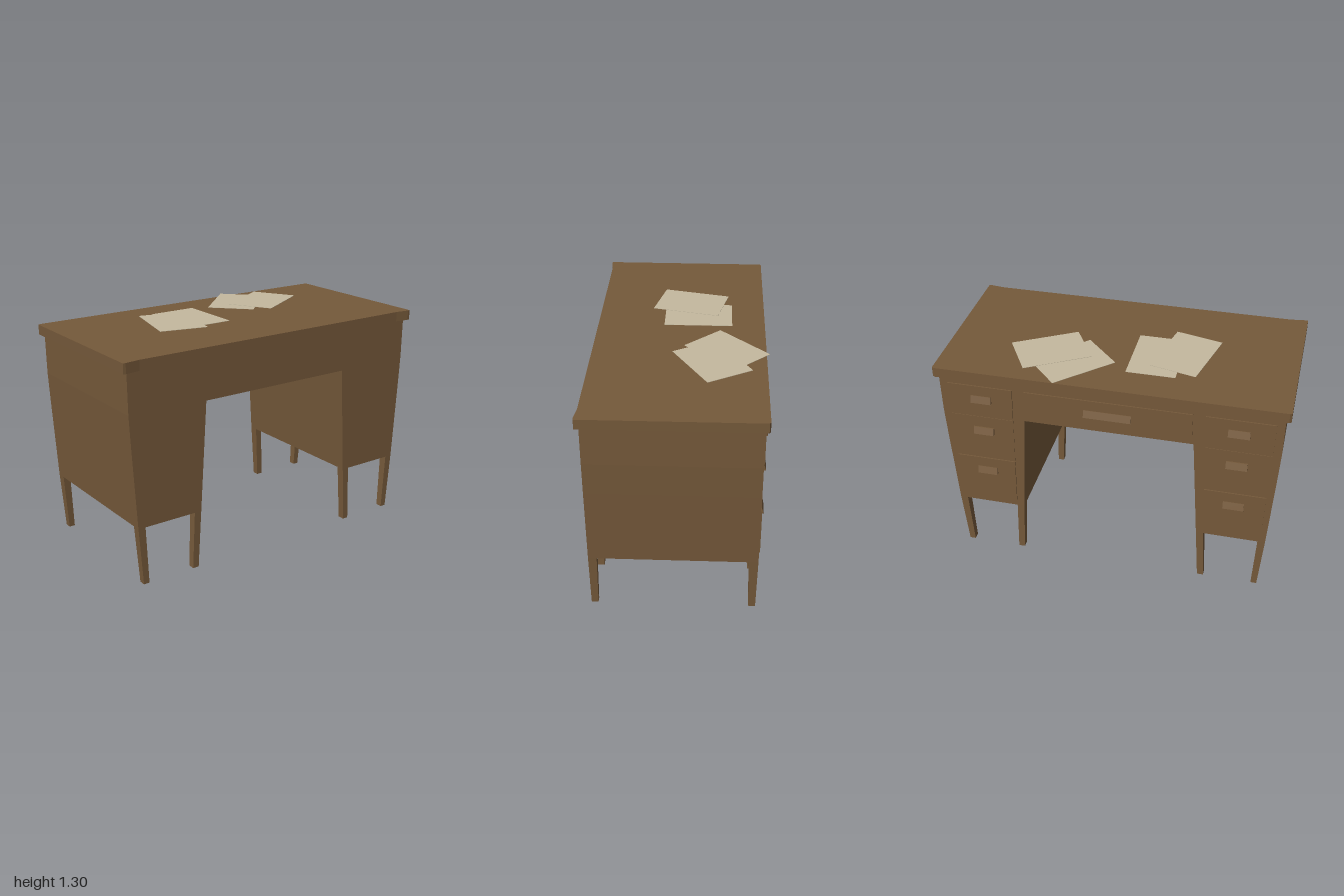
import * as THREE from 'three';

const wood = new THREE.MeshStandardMaterial({ color: 0x75593a, flatShading: true });
const paper = new THREE.MeshStandardMaterial({ color: 0xc4b99f, flatShading: true });

function add(parent, name, geometry, material = wood) {
  const mesh = new THREE.Mesh(geometry, material);
  mesh.name = name;
  parent.add(mesh);
  return mesh;
}

// Extrudes an outline in x/y between two depths
function slab(points, z0, z1) {
  const shape = new THREE.Shape(points.map(([x, y]) => new THREE.Vector2(x, y)));
  return new THREE.ExtrudeGeometry(shape, { depth: z1 - z0, bevelEnabled: false }).translate(0, 0, z0);
}

const mirror = (points) => points.map(([x, y]) => [-x, y]).reverse();

// Tapered leg: four-sided column between two rectangles [x0, x1, z0, z1]
function legGeometry(bottom, top, height) {
  const g = new THREE.BoxGeometry(1, 1, 1);
  const p = g.attributes.position;
  for (let i = 0; i < p.count; i++) {
    const r = p.getY(i) > 0 ? top : bottom;
    p.setXYZ(i, p.getX(i) > 0 ? r[1] : r[0], p.getY(i) > 0 ? height : 0, p.getZ(i) > 0 ? r[3] : r[2]);
  }
  g.computeVertexNormals();
  return g;
}

// Drawer pull: a wedge that overhangs at its lower edge
function handleGeometry(width) {
  const g = slab([[-0.46, 0], [-0.46, 0.042], [-0.473, 0.042], [-0.486, 0]], -width / 2, width / 2);
  return g.rotateY(-Math.PI / 2);
}

export function createModel() {
  const desk = new THREE.Group();
  desk.name = 'desk';

  // Desktop with slightly flared front corners
  const outline = [[-0.997, -0.48], [-0.985, -0.487], [0.985, -0.487], [0.997, -0.48], [1, 0.497], [0.985, 0.499],
    [0.9, 0.488], [-0.9, 0.488], [-0.985, 0.499], [-1, 0.497]];
  const top = slab(outline, -1.28, -1.222).rotateX(Math.PI / 2).scale(1, -1, 1);
  // The reflection above turns the faces inward, so reverse each triangle
  const pos = top.attributes.position;
  const a = new THREE.Vector3(), b = new THREE.Vector3();
  for (let i = 0; i < pos.count; i += 3) {
    a.fromBufferAttribute(pos, i);
    b.fromBufferAttribute(pos, i + 1);
    pos.setXYZ(i, b.x, b.y, b.z);
    pos.setXYZ(i + 1, a.x, a.y, a.z);
  }
  // Stand the slab at its height whichever way it was turned
  top.computeBoundingBox();
  top.translate(0, 1.28 - top.boundingBox.max.y, 0);
  top.computeVertexNormals();
  add(desk, 'desktop', top);

  // Body: two tapered pedestals joined above the knee space
  const half = [[0.485, 0.98], [0.525, 0.34], [0.93, 0.34], [0.957, 0.8], [0.967, 0.99], [0.97, 1.222]];
  add(desk, 'body', slab([...half, ...mirror(half)], -0.463, 0.476));

  // Legs continue the taper of the pedestals
  for (const side of [-1, 1]) {
    for (const [x0, x1, tx0, tx1] of [[0.545, 0.582, 0.525, 0.568], [0.87, 0.905, 0.886, 0.93]]) {
      for (const [z0, z1, tz0, tz1] of [[0.435, 0.474, 0.428, 0.476], [-0.458, -0.418, -0.463, -0.41]]) {
        const order = (p, q) => (side > 0 ? [p, q] : [-q, -p]);
        add(desk, 'leg', legGeometry([...order(x0, x1), z0, z1], [...order(tx0, tx1), tz0, tz1], 0.342));
      }
    }
  }

  // Pedestal drawers: [bottom, top, face depth, handle bottom]
  const inner = (y) => 0.545 + 0.022 * (1.18 - y) / 0.8;
  const outer = (y) => 0.925 - 0.025 * (1.18 - y) / 0.8;
  for (const side of [-1, 1]) {
    for (const [y0, y1, z, hy] of [[0.985, 1.18, -0.47, 1.075], [0.685, 0.97, -0.466, 0.858], [0.385, 0.675, -0.47, 0.57]]) {
      const face = [[inner(y0), y0], [outer(y0), y0], [outer(y1), y1], [inner(y1), y1]];
      add(desk, 'drawer', slab(side > 0 ? face : mirror(face), z, -0.45));
      add(desk, 'drawerHandle', handleGeometry(0.12)).position.set(side * 0.73, hy, 0);
    }
  }

  // Wide drawer over the knee space
  add(desk, 'centreDrawer', slab([[-0.475, 1.02], [0.475, 1.02], [0.475, 1.18], [-0.475, 1.18]], -0.47, -0.45));
  add(desk, 'centreDrawerHandle', handleGeometry(0.27)).position.set(0, 1.075, 0);

  // Loose sheets: [x, y, z, turn]
  for (const [x, y, z, turn] of [[-0.203, 1.286, -0.098, 0], [-0.36, 1.294, -0.05, -0.23],
    [0.25, 1.293, -0.265, -0.8], [0.392, 1.299, -0.185, -1.04]]) {
    const sheet = add(desk, 'paperSheet', new THREE.BoxGeometry(0.28, 0.002, 0.396), paper);
    sheet.position.set(x, y, z);
    sheet.rotation.y = turn;
  }
  return desk;
}
